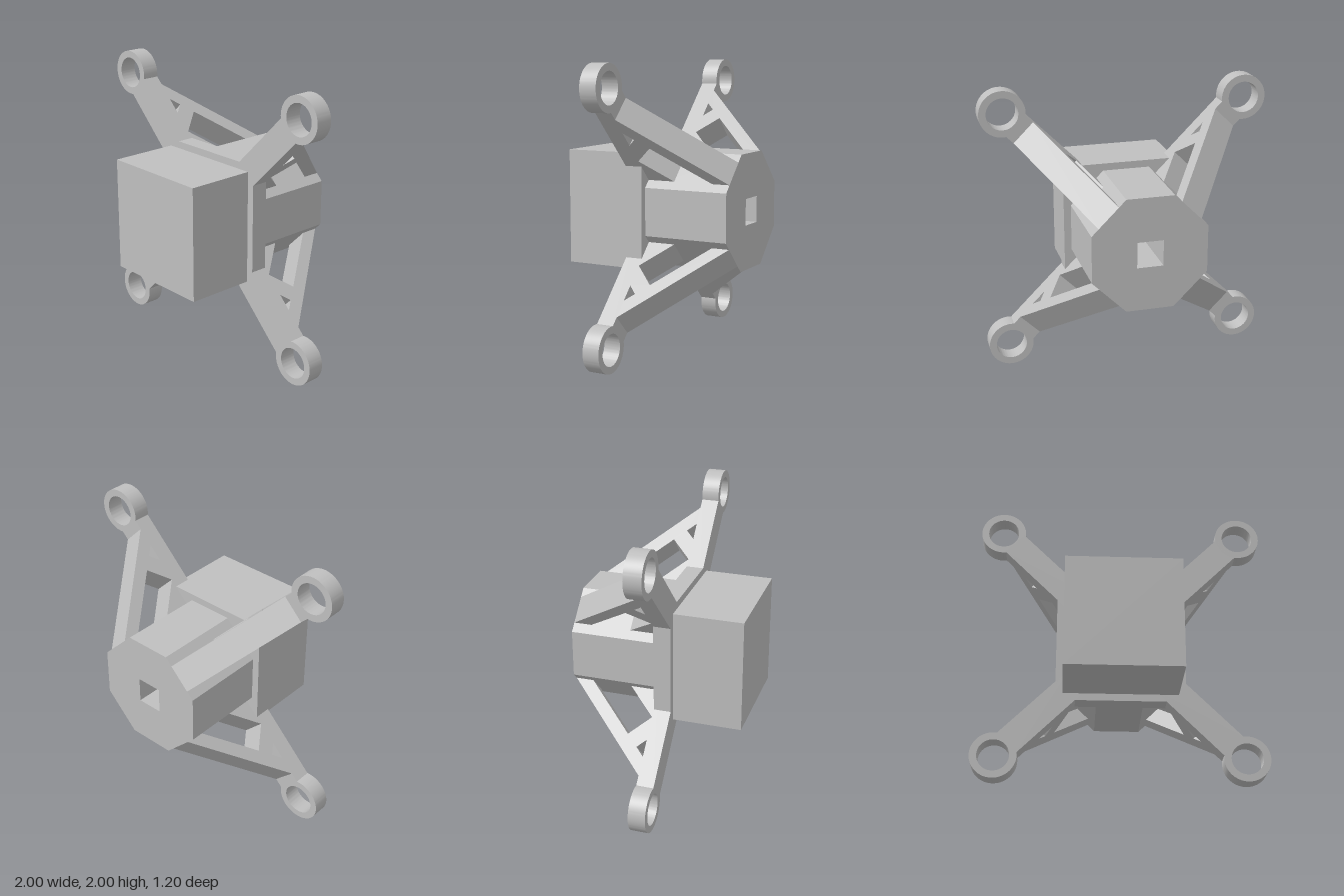
import * as THREE from 'three';
import { toCreasedNormals } from 'three/addons/utils/BufferGeometryUtils.js';

const CENTER_Y = 1;
const PLATE = 0.12;        // plate, arm and ring thickness
const DEPTH = 0.6;         // rear column length
const ARM_HALF = 0.095;    // half width of arms and struts
const RING_AT = 1.192;     // ring centre along the diagonal

const grey = new THREE.MeshStandardMaterial({ color: 0xbfbfbf });
grey.name = 'plain grey';

function polygon(points) {
  return new THREE.Shape(points.map(([x, y]) => new THREE.Vector2(x, y)));
}

function extrude(shapes, depth) {
  return new THREE.ExtrudeGeometry(shapes, { depth, bevelEnabled: false, curveSegments: 48 });
}

function add(parent, name, geometry) {
  const mesh = new THREE.Mesh(geometry, grey);
  mesh.name = name;
  parent.add(mesh);
  return mesh;
}

// Triangular brace: x runs outward along the diagonal, y runs backward
function braceGeometry() {
  const frame = polygon([
    [0.59, 0], [0.75, 0], [0.81, 0.06], [0.87, 0], [1.0, 0],
    [0.395, DEPTH], [0.385, DEPTH], [0.385, 0.485], [0.73, 0.14],
  ]);
  const corner = polygon([[0.385, 0], [0.59, 0], [0.385, 0.205]]);
  const geometry = extrude([frame, corner], ARM_HALF * 2);
  geometry.translate(0, 0, -ARM_HALF);
  geometry.rotateX(-Math.PI / 2); // y becomes -z
  return geometry;
}

function ringGeometry() {
  const shape = new THREE.Shape().absarc(0, 0, 0.157, 0, Math.PI * 2, false);
  shape.holes.push(new THREE.Path().absarc(0, 0, 0.108, 0, Math.PI * 2, true));
  return toCreasedNormals(extrude(shape, PLATE), Math.PI / 6);
}

// Octagonal column with a square socket
function columnGeometry() {
  const radius = 0.395 / Math.cos(Math.PI / 8);
  const points = [];
  for (let i = 0; i < 8; i++) {
    const a = (i + 0.5) * Math.PI / 4;
    points.push([radius * Math.cos(a), radius * Math.sin(a)]);
  }
  const shape = polygon(points);
  const h = 0.09;
  shape.holes.push(polygon([[-h, -h], [-h, h], [h, h], [h, -h]]));
  return extrude(shape, DEPTH).translate(0, 0, -DEPTH);
}

export function createModel() {
  const model = new THREE.Group();
  model.name = 'fourArmMount';
  const body = new THREE.Group();
  body.name = 'body';
  body.position.y = CENTER_Y;
  model.add(body);

  // Central block, plate and column
  add(body, 'frontBlock', new THREE.BoxGeometry(0.79, 0.79, DEPTH - PLATE))
    .position.z = (DEPTH + PLATE) / 2;
  add(body, 'plate', new THREE.BoxGeometry(0.89, 0.89, PLATE)).position.z = PLATE / 2;
  add(body, 'rearColumn', columnGeometry());

  // Four diagonal arms, each with an end ring and a rear brace
  const armStart = 0.4, armEnd = RING_AT - 0.115;
  const armGeometry = new THREE.BoxGeometry(armEnd - armStart, ARM_HALF * 2, PLATE);
  armGeometry.translate((armStart + armEnd) / 2, 0, PLATE / 2);
  const ring = ringGeometry(), brace = braceGeometry();
  const names = ['upperLeft', 'upperRight', 'lowerRight', 'lowerLeft'];
  names.forEach((name, i) => {
    const arm = new THREE.Group();
    arm.name = name + 'Arm';
    arm.rotation.z = Math.PI / 4 + i * Math.PI / 2;
    add(arm, 'armBar', armGeometry);
    add(arm, 'endRing', ring).position.x = RING_AT;
    add(arm, 'brace', brace);
    body.add(arm);
  });
  return model;
}
